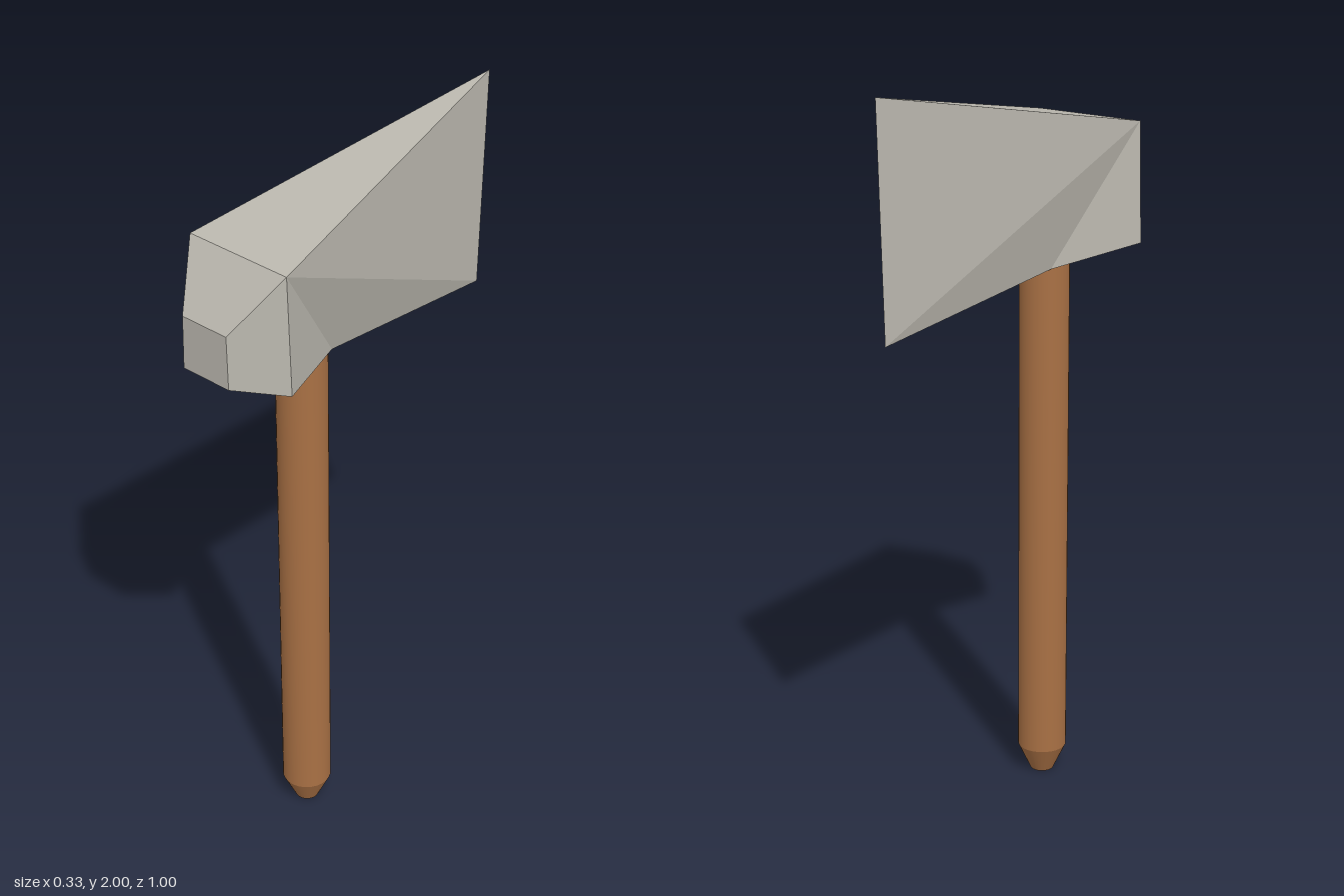
import * as THREE from 'three';

// Flat-shaded solid from named corners and outward polygons (fan-triangulated)
function facetedSolid(corners, faces) {
  const positions = [];
  for (const face of faces) {
    for (let i = 1; i < face.length - 1; i++) {
      for (const name of [face[0], face[i], face[i + 1]]) positions.push(...corners[name]);
    }
  }
  const geometry = new THREE.BufferGeometry();
  geometry.setAttribute('position', new THREE.Float32BufferAttribute(positions, 3));
  geometry.computeVertexNormals();
  return geometry;
}

export function createModel() {
  const group = new THREE.Group();
  group.name = 'axe';
  const stone = new THREE.MeshStandardMaterial({ color: 0xbab7ae });
  stone.name = 'grey stone';
  const wood = new THREE.MeshStandardMaterial({ color: 0xa87044 });
  wood.name = 'brown wood';

  // Head: blunt poll at the front, wide shoulders, tapering back to a vertical cutting edge
  const corners = {
    pollTopL: [0.072, 1.68, 0.5], pollTopR: [-0.072, 1.68, 0.5],
    pollLowL: [0.075, 1.535, 0.5], pollLowR: [-0.075, 1.535, 0.5],
    topL: [0.16, 1.825, 0.385], topR: [-0.155, 1.825, 0.385],
    lowL: [0.167, 1.5, 0.38], lowR: [-0.167, 1.5, 0.38],
    waistL: [0.055, 1.467, 0.118], waistR: [-0.055, 1.467, 0.118],
    edgeTop: [0.03, 2, -0.5], edgeLow: [0.021, 1.39, -0.49],
  };
  const faces = [
    ['pollLowR', 'pollLowL', 'pollTopL', 'pollTopR'], // poll
    ['pollTopR', 'pollTopL', 'topL', 'topR'], // upper bevel
    ['pollLowL', 'lowL', 'topL', 'pollTopL'], // side bevels
    ['pollLowR', 'pollTopR', 'topR', 'lowR'],
    ['pollLowR', 'lowR', 'lowL', 'pollLowL'], // lower bevel
    ['topR', 'topL', 'edgeTop'], // top
    ['topL', 'lowL', 'waistL', 'edgeLow', 'edgeTop'], // cheeks
    ['topR', 'edgeTop', 'edgeLow', 'waistR', 'lowR'],
    ['lowR', 'waistR', 'waistL', 'lowL'], // underside
    ['waistR', 'edgeLow', 'waistL'],
  ];
  const head = new THREE.Mesh(facetedSolid(corners, faces), stone);
  head.name = 'axeHead';
  group.add(head);

  // Handle shaft, reaching just into the head
  const shaft = new THREE.Mesh(new THREE.CylinderGeometry(0.067, 0.067, 1.4, 32), wood);
  shaft.name = 'handleShaft';
  shaft.position.set(0, 0.775, 0.17);
  group.add(shaft);

  // Tapered butt of the handle
  const butt = new THREE.Mesh(new THREE.CylinderGeometry(0.067, 0.032, 0.075, 32), wood);
  butt.name = 'handleButt';
  butt.position.set(0, 0.0375, 0.17);
  group.add(butt);

  return group;
}
